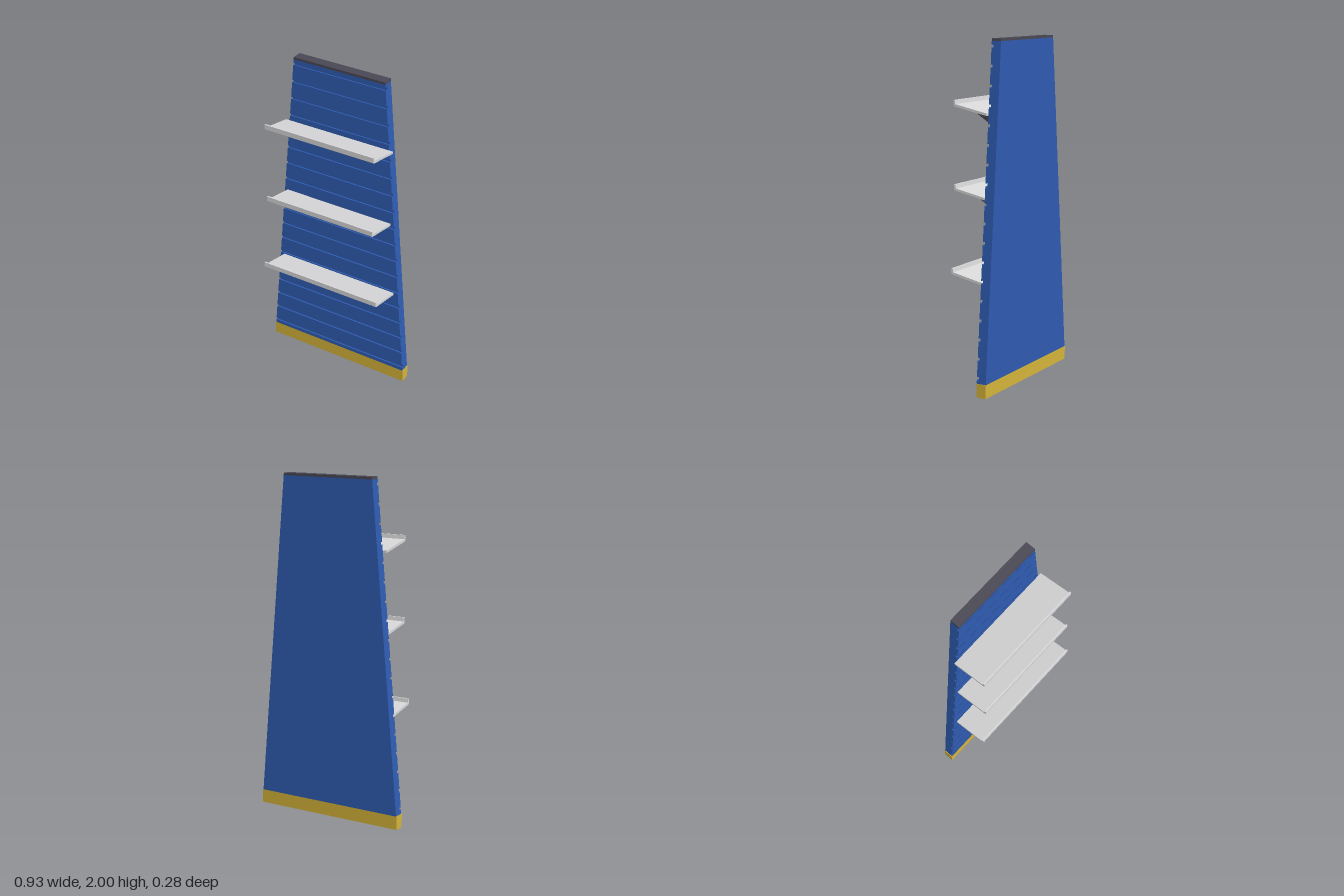
import * as THREE from 'three';

const BACK = -0.138, FRONT = -0.078, BASE_H = 0.08, CAP_Y = 1.986;

// Half width of the tapering board at height y
const halfWidth = (y) => THREE.MathUtils.lerp(0.463, 0.292, (y - BASE_H) / (2 - BASE_H));

// Extrude a [z, y] side profile along x, centred on x = 0
function extrudeAcross(points, width) {
  const shape = new THREE.Shape(points.map(([z, y]) => new THREE.Vector2(-z, y)));
  const geo = new THREE.ExtrudeGeometry(shape, { depth: width, bevelEnabled: false });
  geo.translate(0, 0, -width / 2);
  geo.rotateY(Math.PI / 2); // profile -z becomes world z
  return geo;
}

// Same extrusion, with both ends following the taper of the board
function taperedSlab(points) {
  const geo = extrudeAcross(points, 2);
  const p = geo.attributes.position;
  for (let i = 0; i < p.count; i++) p.setX(i, p.getX(i) * halfWidth(p.getY(i)));
  geo.computeVertexNormals();
  return geo;
}

export function createModel() {
  const material = (name, color) => {
    const m = new THREE.MeshStandardMaterial({ color });
    m.name = name;
    return m;
  };
  const blue = material('blue board', 0x2f5cb2);
  const yellow = material('yellow base', 0xd6b43a);
  const lightGrey = material('light grey shelf', 0xd8d8da);
  const darkGrey = material('dark grey trim', 0x4a4854);

  const model = new THREE.Group();
  model.name = 'slatwallDisplay';
  const add = (parent, name, geo, mat) => {
    const mesh = new THREE.Mesh(geo, mat);
    mesh.name = name;
    parent.add(mesh);
    return mesh;
  };

  // Slatted board: grooves widen slightly behind the front face
  const profile = [[BACK, CAP_Y], [BACK, BASE_H], [FRONT, BASE_H]];
  for (let i = 0; i < 18; i++) {
    const y = 0.11 + i * 0.1087;
    profile.push([FRONT, y - 0.007], [FRONT - 0.004, y - 0.01], [FRONT - 0.013, y - 0.01],
      [FRONT - 0.013, y + 0.01], [FRONT - 0.004, y + 0.01], [FRONT, y + 0.007]);
  }
  profile.push([FRONT, CAP_Y]);
  add(model, 'slattedBoard', taperedSlab(profile), blue);

  // Top cap and base plinth
  add(model, 'topCap', taperedSlab([[BACK, CAP_Y], [FRONT, CAP_Y], [FRONT, 2], [BACK, 2]]), darkGrey);
  const base = add(model, 'basePlinth', new THREE.BoxGeometry(0.934, BASE_H, FRONT - BACK), yellow);
  base.position.set(0, BASE_H / 2, (FRONT + BACK) / 2);

  // Sloping shelves with a front lip, each on two triangular brackets
  const shelfProfile = [[FRONT, 1.578], [0.13, 1.62], [0.138, 1.627], [0.138, 1.657],
    [0.129, 1.657], [0.125, 1.634], [FRONT, 1.592]];
  const bracketProfile = [[FRONT, 1.488], [0.115, 1.612], [0.115, 1.617], [FRONT, 1.578]];
  const shelves = [
    { drop: 0, half: 0.352, bracketX: 0.225 },
    { drop: 0.475, half: 0.352, bracketX: 0.225 },
    { drop: 0.952, half: 0.386, bracketX: 0.246 },
  ];
  for (const { drop, half, bracketX } of shelves) {
    const unit = new THREE.Group();
    unit.name = 'shelfUnit';
    unit.position.y = -drop;
    add(unit, 'shelf', extrudeAcross(shelfProfile, half * 2), lightGrey);
    for (const side of [-1, 1]) {
      add(unit, side > 0 ? 'leftBracket' : 'rightBracket',
        extrudeAcross(bracketProfile, 0.013), darkGrey).position.x = side * bracketX;
    }
    model.add(unit);
  }
  return model;
}
